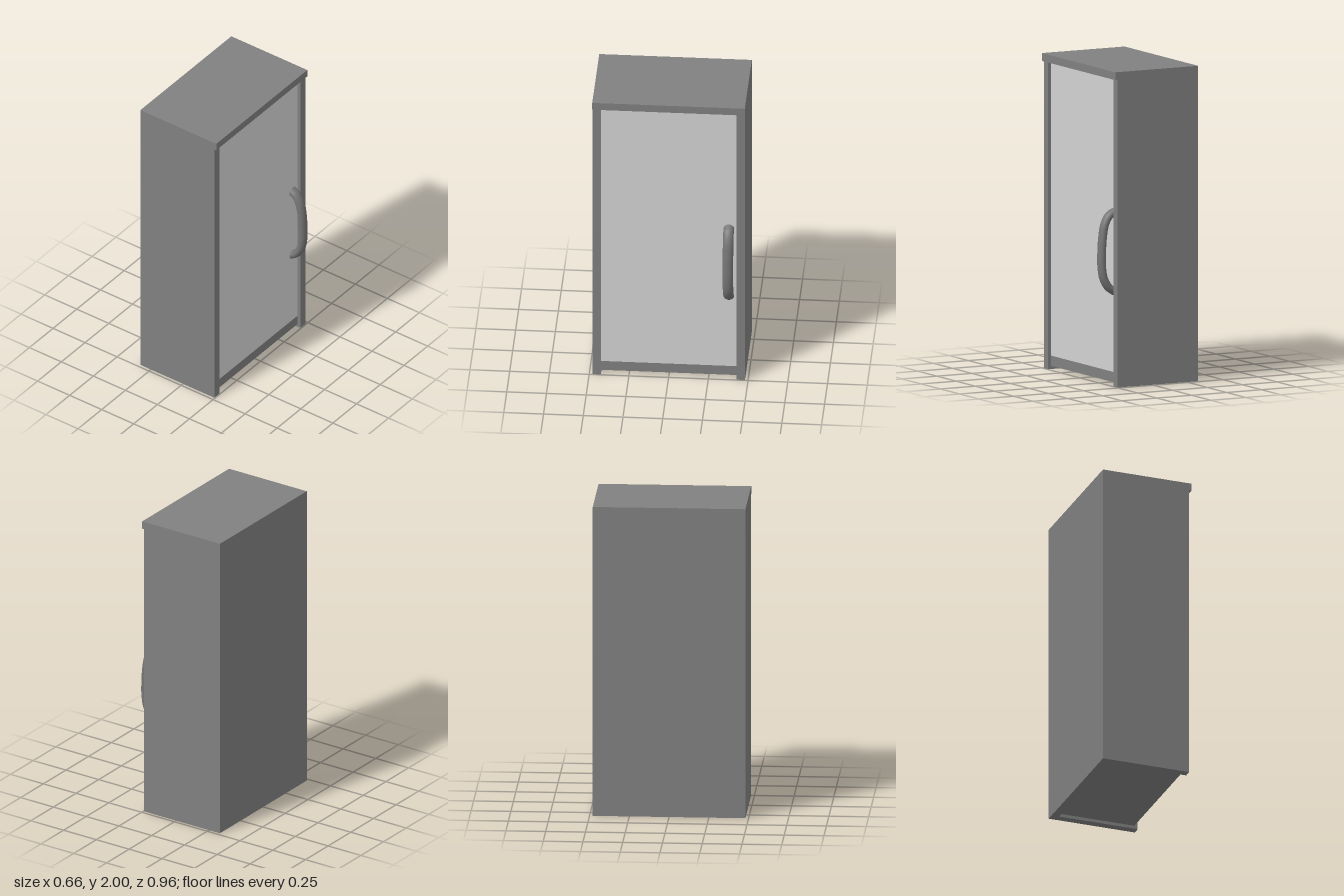
import * as THREE from 'three';

export function createModel() {
  const group = new THREE.Group();
  group.name = 'cabinet';

  const material = (name, color) => {
    const m = new THREE.MeshStandardMaterial({ color });
    m.name = name;
    return m;
  };
  const carcassGrey = material('carcassGrey', 0x808080);
  const doorGrey = material('doorGrey', 0xd3d3d3);
  const handleGrey = material('handleGrey', 0x767676);

  // Box given by its lower and upper limits on each axis
  const panel = (name, mat, [x0, x1], [y0, y1], [z0, z1]) => {
    const mesh = new THREE.Mesh(new THREE.BoxGeometry(x1 - x0, y1 - y0, z1 - z0), mat);
    mesh.position.set((x0 + x1) / 2, (y0 + y1) / 2, (z0 + z1) / 2);
    mesh.name = name;
    group.add(mesh);
  };

  const back = -0.333, front = 0.245, half = 0.48, wall = 0.053;
  const inner = half - wall, doorFace = 0.222, topUnder = 1.95;

  // Carcass: overhanging top, two sides, back and raised floor
  panel('top', carcassGrey, [back, 0.26], [topUnder, 2], [-half, half]);
  panel('leftSide', carcassGrey, [back, front], [0, topUnder], [inner, half]);
  panel('rightSide', carcassGrey, [back, front], [0, topUnder], [-half, -inner]);
  panel('backPanel', carcassGrey, [back, back + 0.05], [0, topUnder], [-inner, inner]);
  panel('floor', carcassGrey, [back + 0.05, doorFace], [0.02, 0.085], [-inner, inner]);

  // Recessed door
  panel('door', doorGrey, [doorFace - 0.03, doorFace], [0.085, topUnder], [-inner, inner]);

  // Bowed handle, wider than it is deep, with rounded ends
  const handle = new THREE.Group();
  handle.name = 'handle';
  const radius = 0.026;
  const path = [
    [0.218, 1.097], [0.25, 1.077], [0.28, 1.025], [0.296, 0.94], [0.302, 0.85],
    [0.302, 0.76], [0.288, 0.68], [0.255, 0.625], [0.218, 0.598],
  ].map(([x, y]) => new THREE.Vector3(x, y, 0));
  const bar = new THREE.Mesh(
    new THREE.TubeGeometry(new THREE.CatmullRomCurve3(path), 48, radius, 16), handleGrey);
  bar.name = 'handleBar';
  handle.add(bar);
  for (const end of [path[0], path[path.length - 1]]) {
    const cap = new THREE.Mesh(new THREE.SphereGeometry(radius, 16, 12), handleGrey);
    cap.position.copy(end);
    cap.name = 'handleEnd';
    handle.add(cap);
  }
  handle.scale.z = 1.28;
  handle.position.z = -0.377;
  group.add(handle);

  return group;
}
